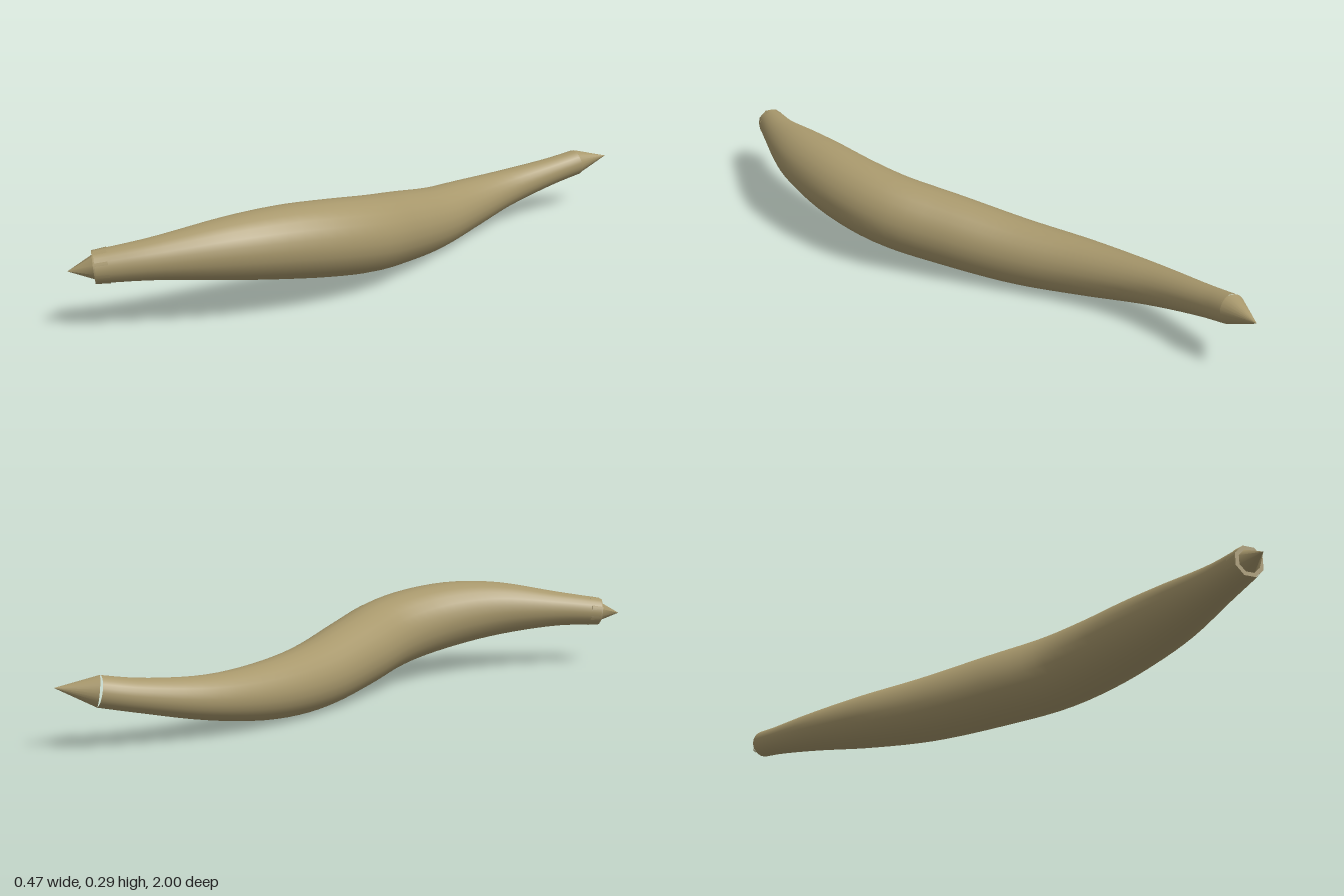
import * as THREE from 'three';

// Centreline stations from head to tail: x, y, z, radius
const STATIONS = [
  [-0.025, 0.183, 0.935, 0.044],
  [0.035, 0.195, 0.8, 0.057],
  [0.102, 0.205, 0.6, 0.087],
  [0.125, 0.2, 0.45, 0.102],
  [0.126, 0.184, 0.3, 0.109],
  [0.1, 0.163, 0.16, 0.111],
  [0.027, 0.135, 0, 0.108],
  [-0.065, 0.105, -0.2, 0.098],
  [-0.14, 0.1, -0.4, 0.082],
  [-0.178, 0.114, -0.6, 0.061],
  [-0.17, 0.144, -0.8, 0.045],
  [-0.155, 0.163, -0.895, 0.042],
];

export function createModel() {
  const group = new THREE.Group();
  const skin = new THREE.MeshStandardMaterial({ color: 0xa8986c });
  skin.name = 'skin';

  const add = (name, geometry) => {
    const mesh = new THREE.Mesh(geometry, skin);
    mesh.name = name;
    group.add(mesh);
    return mesh;
  };

  // Tapered round piece running between two points
  const taper = (name, from, to, r0, r1, sides, open = false) => {
    const dir = to.clone().sub(from);
    const mesh = add(name, new THREE.CylinderGeometry(r1, r0, dir.length(), sides, 1, open));
    mesh.position.copy(from).addScaledVector(dir, 0.5);
    mesh.quaternion.setFromUnitVectors(new THREE.Vector3(0, 1, 0), dir.normalize());
    return mesh;
  };

  // Body: a tube whose rings are scaled by the radius along the path
  const path = new THREE.CatmullRomCurve3(STATIONS.map(([x, y, z]) => new THREE.Vector3(x, y, z)));
  const radii = new THREE.CatmullRomCurve3(STATIONS.map(([, , z, r]) => new THREE.Vector3(r, 0, z)));
  const rings = 44, sides = 24;
  const body = new THREE.TubeGeometry(path, rings, 1, sides);
  const pos = body.attributes.position;
  const v = new THREE.Vector3();
  for (let i = 0; i <= rings; i++) {
    const centre = path.getPointAt(i / rings);
    const r = radii.getPoint(path.getUtoTmapping(i / rings)).x;
    for (let j = 0; j <= sides; j++) {
      const k = i * (sides + 1) + j;
      v.fromBufferAttribute(pos, k).sub(centre).multiplyScalar(r).add(centre);
      pos.setXYZ(k, v.x, v.y, v.z);
    }
  }
  add('body', body);

  // Head: faceted collar just breaking the skin, then a pointed snout
  const head = path.getPointAt(0);
  const headDir = path.getTangentAt(0).negate();
  taper('headCollar', head.clone().addScaledVector(headDir, -0.035),
    head.clone().addScaledVector(headDir, 0.004), 0.049, 0.045, 8);
  taper('snout', head, new THREE.Vector3(-0.055, 0.175, 1), 0.035, 0, 8);

  // Tail: pointed tip continuing the last ring
  const tail = path.getPointAt(1);
  taper('tailTip', tail, new THREE.Vector3(-0.12, 0.178, -1), 0.042, 0, sides, true);

  return group;
}
